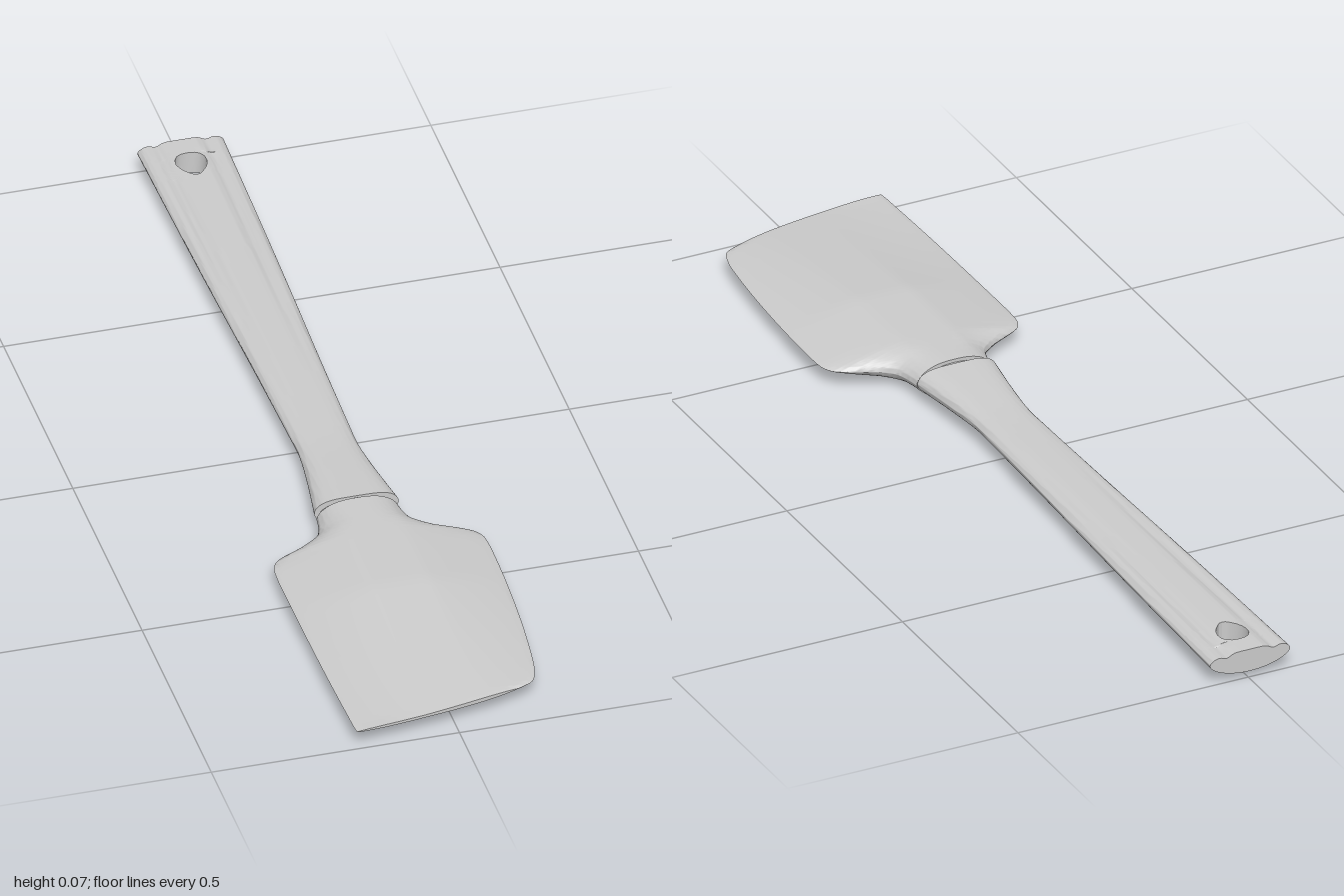
import * as THREE from 'three';
import { mergeGeometries, toCreasedNormals } from 'three/addons/utils/BufferGeometryUtils.js';

const MID = 0.042; // height of the centre plane
const { lerp, smoothstep } = THREE.MathUtils;

// Skins rings whose first half runs along the top (+x) and second half back underneath.
function loft(rings, skip = () => false) {
  const n = rings[0].length;
  const index = [];
  const quad = (a, b, c, d) => index.push(a, b, c, a, c, d);
  for (let i = 0; i < rings.length - 1; i++) {
    for (let j = 0; j < n; j++) {
      if (skip(i, j)) continue;
      const k = (j + 1) % n;
      quad(i * n + j, (i + 1) * n + j, (i + 1) * n + k, i * n + k);
    }
  }
  const end = (rings.length - 1) * n;
  for (let j = 0; j < n / 2 - 1; j++) {
    quad(j, j + 1, n - 2 - j, n - 1 - j);
    quad(end + n - 1 - j, end + n - 2 - j, end + j + 1, end + j);
  }
  const geometry = new THREE.BufferGeometry();
  geometry.setAttribute('position', new THREE.Float32BufferAttribute(rings.flat(2), 3));
  geometry.setIndex(index);
  return geometry.toNonIndexed();
}

// Piecewise-linear lookup in rows sorted by their first entry
function lookup(rows, z, col) {
  let i = 1;
  while (i < rows.length - 1 && rows[i][0] < z) i++;
  const [a, b] = [rows[i - 1], rows[i]];
  return lerp(a[col], b[col], THREE.MathUtils.clamp((z - a[0]) / (b[0] - a[0]), 0, 1));
}

function handleGeometry() {
  // z, half width, half height
  const profile = new THREE.CatmullRomCurve3([
    [-1, 0.087, 0.024], [-0.6, 0.078, 0.024], [-0.2, 0.066, 0.024], [0, 0.061, 0.024],
    [0.07, 0.06, 0.025], [0.16, 0.069, 0.029], [0.27, 0.085, 0.034],
  ].map((p) => new THREE.Vector3(...p))).getPoints(80).map((p) => p.toArray());
  // z, half width of the hanging hole
  const hole = [
    [-0.953, 0], [-0.951, 0.014], [-0.946, 0.023], [-0.935, 0.03], [-0.92, 0.031], [-0.908, 0.028],
    [-0.897, 0.022], [-0.887, 0.014], [-0.88, 0.007], [-0.878, 0],
  ];
  const stations = [-1, -0.975, ...hole.map((h) => h[0])];
  for (let i = 0; i <= 44; i++) stations.push(lerp(-0.86, 0.27, i / 44));

  const topY = (u, z, half) => {
    const round = Math.pow(Math.max(0, 1 - Math.pow(Math.abs(u), 4)), 0.5);
    const groove = Math.exp(-Math.pow((Math.abs(u) - 0.58) / 0.13, 2));
    const fade = 1 - smoothstep(z, -0.75, 0);
    return MID + 0.006 + (half - 0.006) * round - 0.007 * groove * fade;
  };
  const bottomY = (u, half) => MID + 0.006 - (half + 0.006) * Math.pow(Math.max(0, 1 - u * u), 0.6);

  const N = 24;
  const halves = [-1, 1].map((side) => {
    const rings = stations.map((z) => {
      const hw = lookup(profile, z, 1), hh = lookup(profile, z, 2), inner = lookup(hole, z, 1);
      const top = [], bottom = [];
      for (let i = 0; i <= N; i++) {
        const s = Math.sin((Math.PI / 2) * (side > 0 ? i : N - i) / N);
        const x = side * lerp(inner, hw, s);
        const u = x / hw;
        top.push([x, topY(u, z, hh), z]);
        bottom.unshift([x, bottomY(u, hh), z]);
      }
      return [...top, ...bottom];
    });
    // Inner wall exists only along the hole
    const wall = side > 0 ? 2 * N + 1 : N;
    return loft(rings, (i, j) => j === wall && (i < 2 || i > hole.length));
  });
  return toCreasedNormals(mergeGeometries(halves), 0.75);
}

function bladeGeometry() {
  // Matching outline points [x, z] down both sides; the tip is slanted
  const spline = (pts) => new THREE.SplineCurve(pts.map((p) => new THREE.Vector2(...p)));
  const sideA = spline([
    [-0.087, 0.28], [-0.093, 0.315], [-0.108, 0.345], [-0.15, 0.372], [-0.19, 0.39], [-0.208, 0.41], [-0.215, 0.45],
    [-0.215, 0.58], [-0.213, 0.75], [-0.21, 0.88], [-0.208, 0.94], [-0.207, 0.975], [-0.205, 0.996],
  ]);
  const sideB = spline([
    [0.077, 0.28], [0.083, 0.315], [0.098, 0.345], [0.14, 0.372], [0.183, 0.39], [0.205, 0.41], [0.213, 0.45],
    [0.211, 0.58], [0.203, 0.72], [0.191, 0.84], [0.182, 0.89], [0.168, 0.922], [0.135, 0.938],
  ]);
  const M = 72, N = 48;
  const rings = [];
  for (let i = 0; i <= M; i++) {
    const a = sideA.getPoint(i / M), b = sideB.getPoint(i / M);
    const top = [], bottom = [];
    for (let j = 0; j <= N; j++) {
      const u = -Math.cos((Math.PI * j) / N);
      const x = lerp(a.x, b.x, (u + 1) / 2);
      const bow = 0.008 * (1 - u * u) * smoothstep(i / M, 0.7, 1);
      const z = lerp(a.y, b.y, (u + 1) / 2) + bow;
      // Thick core tapering to a thin tip
      const core = z < 0.58 ? 0.037 : lerp(0.037, 0.003, Math.min(1, (z - 0.58) / 0.4));
      const rim = 0.004 * Math.sqrt(Math.max(0, 1 - u * u));
      const reach = Math.abs(x < 0 ? a.x : b.x);
      const d = Math.max(0, (Math.abs(x) - 0.055) / Math.max(0.02, reach - 0.055));
      const slope = Math.min(rim, core) + Math.max(0, core - 0.004) * Math.max(0, 1 - Math.pow(d, 1.05));
      const neck = core * Math.pow(Math.max(0, 1 - Math.pow(Math.abs(u), 2.6)), 0.6);
      const h = lerp(neck, slope, smoothstep(z, 0.3, 0.42));
      top.push([x, MID + h, z]);
      bottom.unshift([x, MID - h, z]);
    }
    rings.push([...top, ...bottom]);
  }
  return toCreasedNormals(loft(rings), 0.8);
}

export function createModel() {
  const group = new THREE.Group();
  const material = new THREE.MeshStandardMaterial({ color: 0xcccccc });
  const add = (name, geometry) => {
    const mesh = new THREE.Mesh(geometry, material);
    mesh.name = name;
    group.add(mesh);
    return mesh;
  };

  add('handle', handleGeometry()).position.x = -0.004;
  add('blade', bladeGeometry());

  // Slightly recessed collar in the gap between handle and blade
  const collar = new THREE.CylinderGeometry(1, 1, 0.03, 40).rotateX(Math.PI / 2).scale(0.076, 0.03, 1);
  add('collar', collar).position.set(-0.004, MID, 0.275);

  return group;
}
